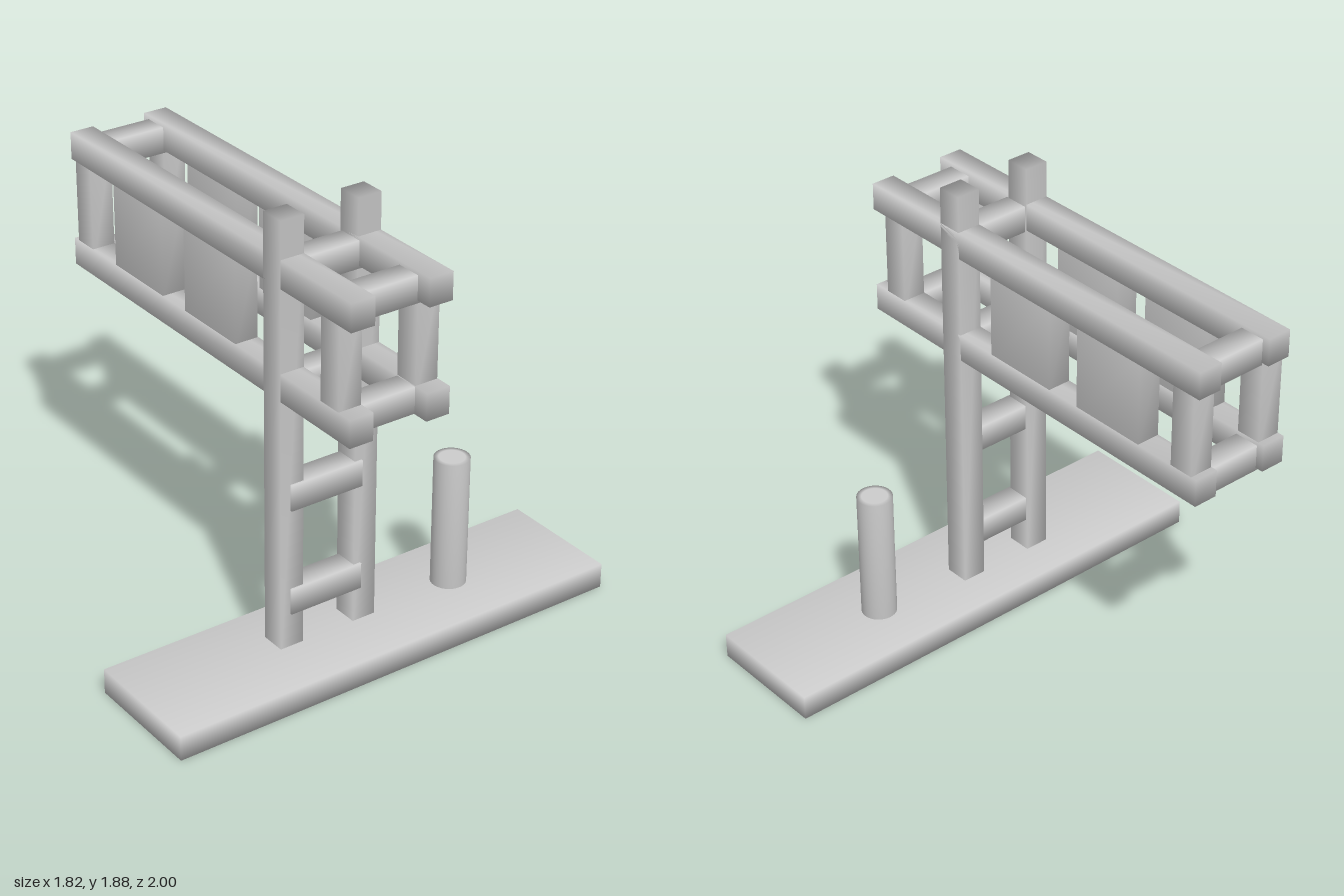
import * as THREE from 'three';
import { mergeVertices } from 'three/addons/utils/BufferGeometryUtils.js';

const material = new THREE.MeshStandardMaterial({ color: 0xcccccc });

// Box given by its limits, with soft normals shared across the edges
function beam(name, [x0, x1], [y0, y1], [z0, z1]) {
  let geo = new THREE.BoxGeometry(x1 - x0, y1 - y0, z1 - z0);
  geo.deleteAttribute('normal');
  geo.deleteAttribute('uv');
  geo = mergeVertices(geo);
  geo.computeVertexNormals();
  const mesh = new THREE.Mesh(geo, material);
  mesh.name = name;
  mesh.position.set((x0 + x1) / 2, (y0 + y1) / 2, (z0 + z1) / 2);
  return mesh;
}

export function createModel() {
  const model = new THREE.Group();
  const frame = new THREE.Group();
  frame.name = 'upperFrame';
  const ladder = new THREE.Group();
  ladder.name = 'ladder';

  // Base plank
  model.add(beam('base', [0.22, 0.74], [0, 0.105], [-1, 1]));

  // Front and back side: post, two rails, end uprights and two panels
  for (const [side, z0, z1] of [['front', 0.285, 0.387], ['back', -0.052, 0.05]]) {
    ladder.add(beam(side + 'Post', [0.39, 0.495], [0.01, 1.88], [z0, z1]));
    frame.add(beam(side + 'TopRail', [-0.913, 0.91], [1.618, 1.73], [z0, z1]));
    frame.add(beam(side + 'BottomRail', [-0.913, 0.91], [1.168, 1.28], [z0, z1]));
    const inset = [z0 + 0.002, z1 - 0.002];
    for (const x of [-0.885, 0.735])
      frame.add(beam(side + 'Upright', [x, x + 0.105], [1.2, 1.7], inset));
    for (const x of [-0.61, -0.125])
      frame.add(beam(side + 'Panel', [x, x + 0.333], [1.25, 1.65], inset));
  }

  // Crossbars joining the two sides: ladder rungs, then the frame ends
  const span = [0.02, 0.343];
  for (const y of [0.25, 0.7, 1.16, 1.608])
    ladder.add(beam('rung', [0.398, 0.504], [y, y + 0.11], span));
  for (const [x, low] of [[-0.88, 1.157], [0.737, 1.17]])
    for (const y of [low, 1.607])
      frame.add(beam('endCrossbar', [x, x + 0.105], [y, y + 0.108], span));

  // Round peg with a flat cap
  const profile = [[0, 0.01], [0.072, 0.01], [0.072, 0.66], [0.052, 0.661], [0, 0.661]]
    .map(([r, y]) => new THREE.Vector2(r, y));
  const peg = new THREE.Mesh(new THREE.LatheGeometry(profile, 32), material);
  peg.name = 'peg';
  peg.position.set(0.473, 0, -0.433);

  model.add(ladder, frame, peg);
  return model;
}
